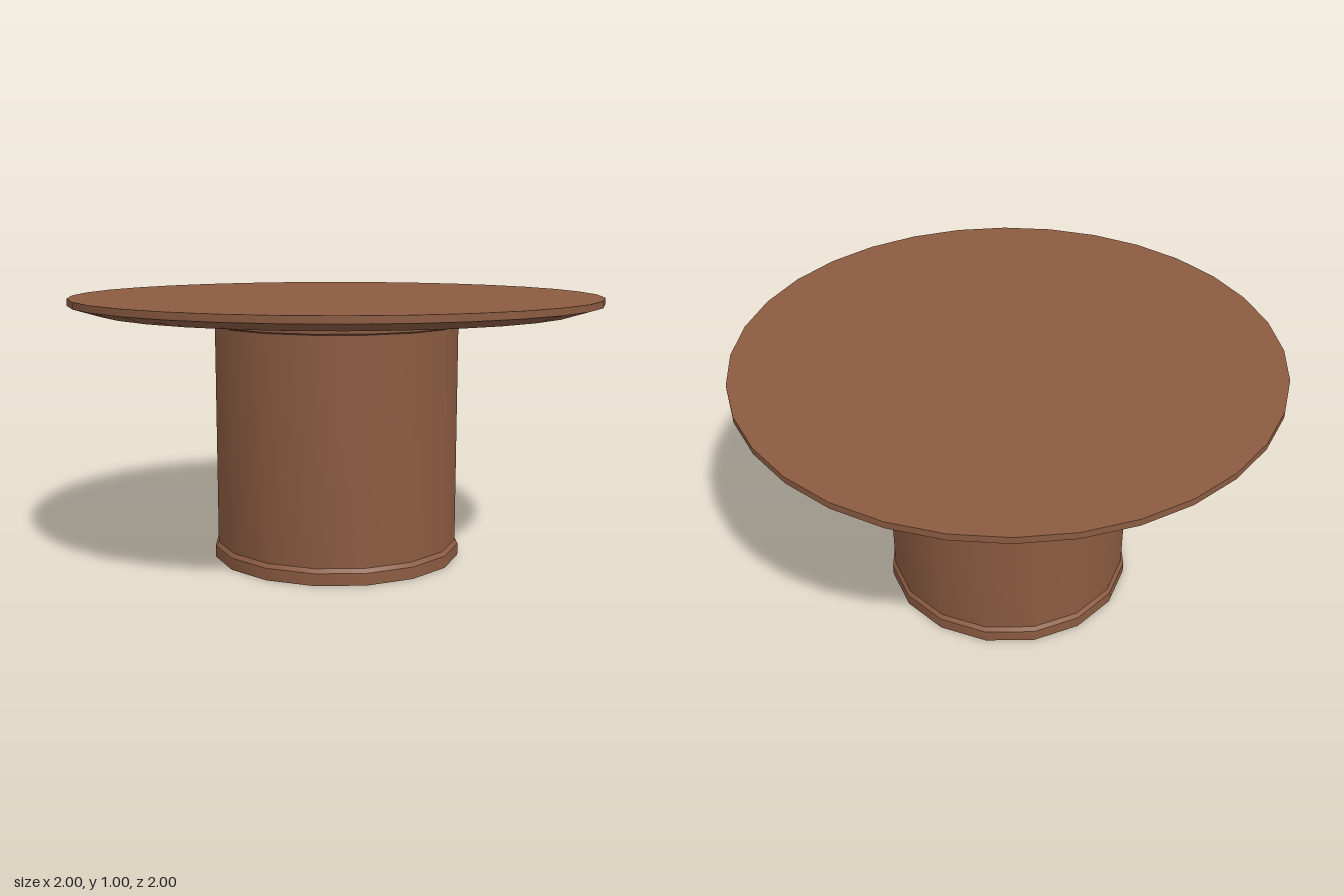
import * as THREE from 'three';
import { toCreasedNormals } from 'three/addons/utils/BufferGeometryUtils.js';

const wood = new THREE.MeshStandardMaterial({ color: 0x8b5b41 });
wood.name = 'brown wood';

// Turned part from a profile of [radius, height] points, bottom to top
function turned(name, profile, sides) {
  const points = profile.map(([r, y]) => new THREE.Vector2(r, y));
  const geometry = toCreasedNormals(new THREE.LatheGeometry(points, sides), 0.5);
  const mesh = new THREE.Mesh(geometry, wood);
  mesh.name = name;
  return mesh;
}

export function createModel() {
  const table = new THREE.Group();
  table.name = 'roundTable';

  // Thin round top with a bevelled underside
  table.add(turned('tableTop', [[0, 0.945], [0.9, 0.945], [1, 0.975], [1, 1], [0, 1]], 32));

  // Drum pedestal with a slightly wider foot and collar
  table.add(turned('pedestal', [
    [0, 0], [0.477, 0], [0.477, 0.045], [0.465, 0.06],
    [0.465, 0.89], [0.477, 0.895], [0.477, 0.935], [0.47, 0.945],
  ], 16));

  return table;
}
